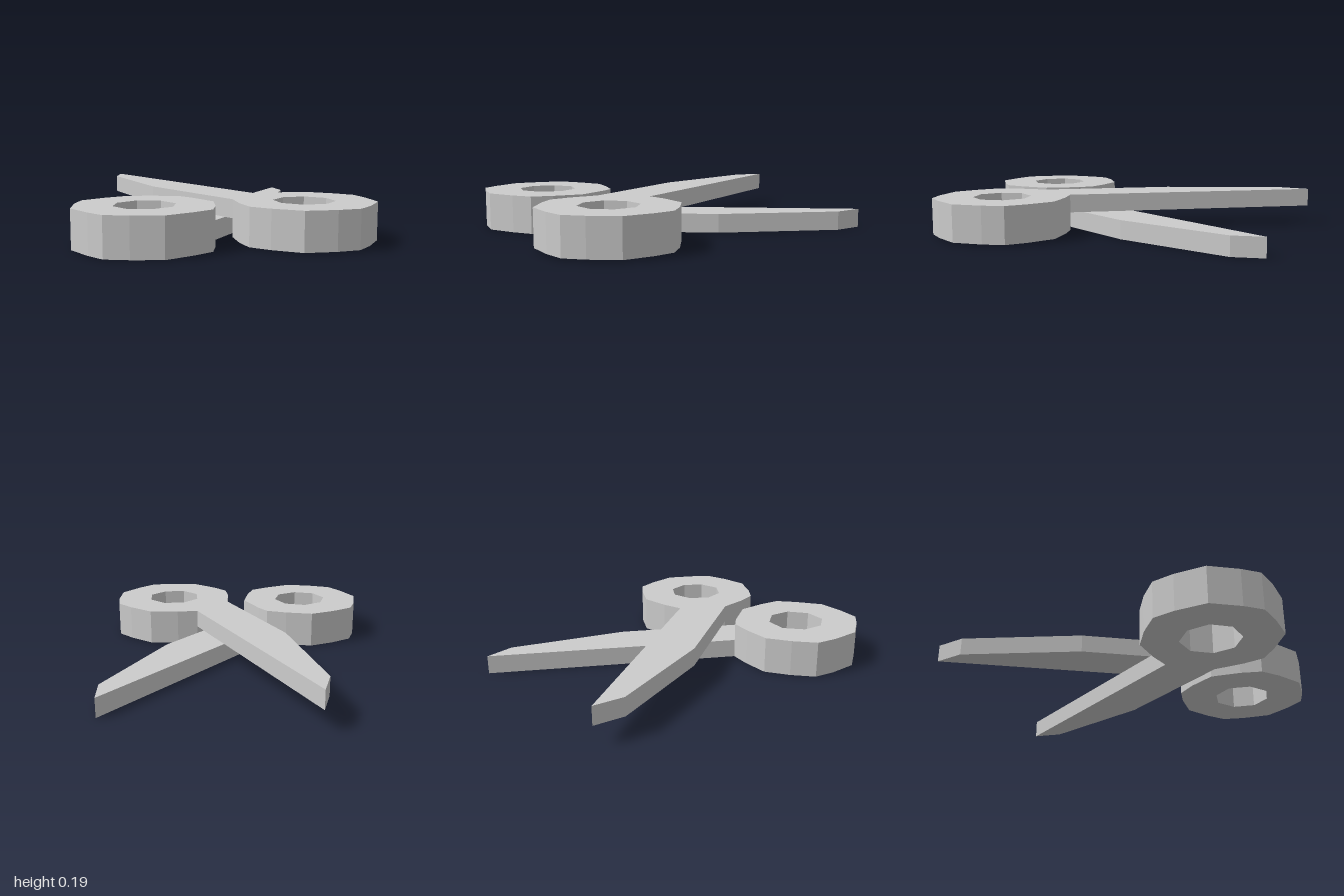
import * as THREE from 'three';

const material = new THREE.MeshStandardMaterial({ color: 0xcccccc, flatShading: true });

// Flat plate: outline points are [x, z], extruded upward from y0 to y1.
// The hole runs in the opposite direction to the outline.
function plate(name, outline, y0, y1, hole) {
  const toVec = ([x, z]) => new THREE.Vector2(x, -z);
  const shape = new THREE.Shape(outline.map(toVec));
  if (hole) shape.holes.push(new THREE.Path(hole.map(toVec)));
  const geometry = new THREE.ExtrudeGeometry(shape, { depth: y1 - y0, bevelEnabled: false });
  geometry.rotateX(-Math.PI / 2);
  geometry.translate(0, y0, 0);
  const mesh = new THREE.Mesh(geometry, material);
  mesh.name = name;
  return mesh;
}

// One scissor half: full-height finger ring plus a half-height blade.
// The first, second and third ring points form the edge the blade joins.
function half(name, ring, hole, tip, ringY, bladeY) {
  const group = new THREE.Group();
  group.name = name;
  group.add(
    plate('fingerRing', ring, ...ringY, hole),
    plate('blade', [...ring.slice(0, 3), ...tip], ...bladeY)
  );
  return group;
}

export function createModel() {
  const model = new THREE.Group();
  model.name = 'scissors';

  // Upper half, blade along -x
  model.add(half('upperHalf',
    [[0.31, -0.085], [0.345, 0.022], [0.415, 0.155], [0.55, 0.224], [0.655, 0.258],
      [0.76, 0.224], [0.895, 0.155], [0.965, 0.022], [1, -0.085], [0.965, -0.19],
      [0.895, -0.325], [0.76, -0.395], [0.655, -0.43], [0.55, -0.395], [0.415, -0.325], [0.345, -0.19]],
    [[0.51, -0.085], [0.55, -0.188], [0.655, -0.232], [0.76, -0.188],
      [0.8, -0.085], [0.76, 0.02], [0.655, 0.062], [0.55, 0.02]],
    [[-0.265, 0.155], [-0.88, 0.018], [-1, -0.085]],
    [0.007, 0.19], [0.098, 0.19]));

  // Lower half, swung open toward the back
  model.add(half('lowerHalf',
    [[0.145, 0.272], [0.22, 0.26], [0.403, 0.26], [0.527, 0.348], [0.607, 0.424],
      [0.62, 0.533], [0.62, 0.688], [0.532, 0.804], [0.452, 0.886], [0.352, 0.9],
      [0.197, 0.9], [0.07, 0.812], [-0.01, 0.733], [-0.025, 0.602], [-0.02, 0.467], [0.067, 0.352]],
    [[0.155, 0.528], [0.167, 0.643], [0.252, 0.718], [0.362, 0.713],
      [0.437, 0.628], [0.432, 0.513], [0.347, 0.438], [0.232, 0.443]],
    [[0.097, -0.355], [-0.295, -0.84], [-0.44, -0.9]],
    [0, 0.187], [0, 0.095]));

  return model;
}
